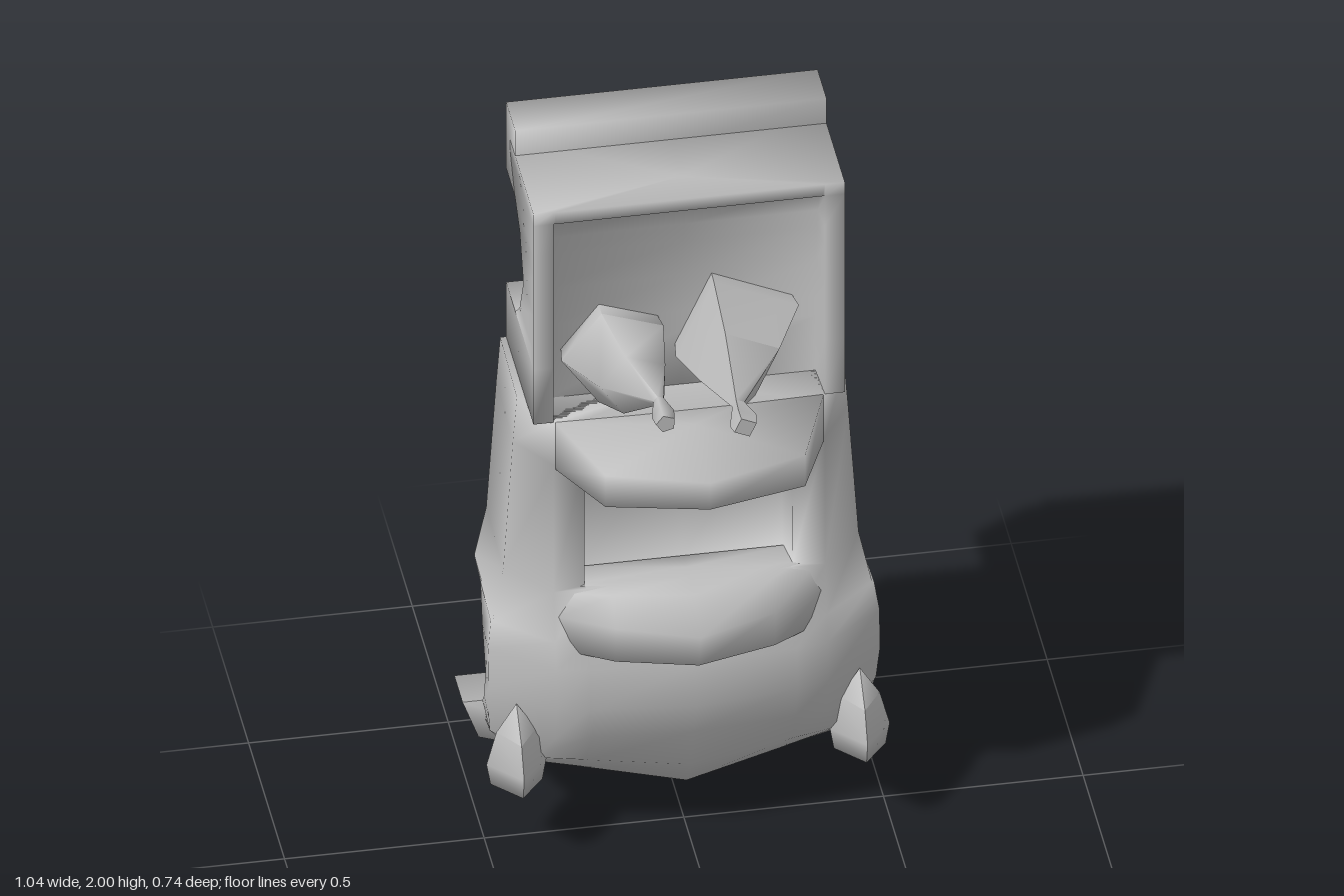
import * as THREE from 'three';
import { toCreasedNormals } from 'three/addons/utils/BufferGeometryUtils.js';

const grey = new THREE.MeshStandardMaterial({ color: 0xbcbcbc, side: THREE.DoubleSide });
grey.name = 'plain grey';

// Skin a stack of equal-length rings of [x, y, z], with end caps
function loft(rings) {
  const n = rings[0].length, pos = rings.flat(2), index = [];
  for (let i = 0; i < rings.length - 1; i++) {
    for (let j = 0; j < n; j++) {
      const a = i * n + j, b = i * n + (j + 1) % n;
      index.push(a, a + n, b, b, a + n, b + n);
    }
  }
  for (const i of [0, rings.length - 1]) {
    const centre = pos.length / 3;
    pos.push(...[0, 1, 2].map(k => rings[i].reduce((s, p) => s + p[k], 0) / n));
    for (let j = 0; j < n; j++) {
      const a = i * n + j, b = i * n + (j + 1) % n;
      index.push(centre, ...(i ? [b, a] : [a, b]));
    }
  }
  const g = new THREE.BufferGeometry();
  g.setAttribute('position', new THREE.Float32BufferAttribute(pos, 3));
  g.setIndex(index);
  return g;
}

// Complete a half ring of [x, z] at height y, from back centre to front centre
function mirror(y, half) {
  const right = half.map(([x, z]) => [x, y, z]);
  return right.concat(right.slice(1, -1).reverse().map(([x, , z]) => [-x, y, z]));
}

// Depth of a wheel arch centred on height c, hollowed out of the back
const BACK = -0.305;
const arch = (y, c) => -0.065 - 3.9 * (y - c) ** 2;

// Body ring: half width x, rim depth zf, centre depth zc; the lowest rings sag to a V
function bodyRing(y, zb, x, zf, zc) {
  const xf = 0.34 + Math.max(0, 0.35 - y) * 0.6;
  const recessed = zc < 0 && y > 0.5;
  const zj = recessed ? zf - 0.015 : zf + (zc - zf) * 0.3;
  const zi = recessed ? zc : zf + (zc - zf) * 0.35;
  const ring = mirror(y, [[0, zb], [x - 0.005, zb], [x, zf - 0.12], [xf, zf], [0.26, zj], [0.25, zi], [0, zc]]);
  const sag = Math.max(0, 0.32 - y) * 1.25;
  return ring.map(([px, py, pz]) => [px, py - sag * Math.max(0, 1 - Math.abs(px) / 0.47), pz]);
}

export function createModel() {
  const model = new THREE.Group();
  const add = (name, geometry, crease = 1.65) => {
    const mesh = new THREE.Mesh(toCreasedNormals(geometry, crease), grey);
    mesh.name = name;
    model.add(mesh);
  };

  // Main body: rounded and arched below, a recessed front above
  const lower = [[0.28, 0.475, 0.06, 0.1], [0.35, 0.485, 0.1, 0.13], [0.46, 0.49, 0.13, 0.18],
    [0.57, 0.49, 0.12, 0.155], [0.64, 0.48, 0.1, 0.13]];
  const upper = [[0.64, 0.475, 0.1, 0.13], [0.78, 0.445, 0.08, 0.08], [0.78, 0.445, 0.08, -0.02],
    [1.16, 0.42, 0.075, -0.03], [1.16, 0.42, 0.075, 0.075], [1.29, 0.41, 0.075, 0.075]];
  add('body', loft([
    bodyRing(0.2, -0.28, 0.46, -0.18, -0.18),
    bodyRing(0.24, -0.24, 0.465, 0, 0.04),
    ...lower.map(([y, x, zf, zc]) => bodyRing(y, arch(y, 0.46), x, zf, zc)),
    ...upper.map(([y, x, zf, zc]) => bodyRing(y, BACK, x, zf, zc))
  ]));

  // Open tray with a sloping floor and a second arch behind it
  const trayRing = (y, zb, floor) => mirror(y, [[0, zb], [0.39, zb], [0.39, 0.075],
    [0.34, 0.075], [0.335, floor], [0, floor]]);
  const trayArch = [1.455, 1.51, 1.62, 1.74, 1.8];
  add('tray', loft([
    trayRing(1.29, BACK, -0.03), trayRing(1.455, BACK, -0.03),
    ...trayArch.map(y => trayRing(y, arch(y, 1.625), -0.03 + Math.max(0, y - 1.62) * 0.2)),
    trayRing(1.89, -0.25, 0.03), trayRing(1.89, -0.25, 0.075), trayRing(1.925, -0.25, 0.075)
  ]));

  // Block across the upper back edge and the small ledge behind it
  add('upperBumper', new THREE.BoxGeometry(0.78, 0.2, 0.125).translate(0, 1.9, -0.2425));
  const ledge = (y, x, z) => mirror(y, [[0, z], [x, z], [0.28, -0.29], [0, -0.29]]);
  add('ledge', loft([ledge(1.8, 0.28, BACK), ledge(1.89, 0.26, -0.37)]), 0.85);

  // Pointed bumper at the bottom
  const bumper = new THREE.Shape().moveTo(0, 0).lineTo(0.48, 0.17).lineTo(0.52, 0.28)
    .lineTo(-0.52, 0.28).lineTo(-0.48, 0.17);
  add('lowerBumper', new THREE.ExtrudeGeometry(bumper, { depth: 0.115, bevelEnabled: false })
    .translate(0, 0, BACK));

  // Visor, thinning towards its front edge
  const visor = (y, slope) => mirror(y, [[0, -0.02], [0.34, -0.02], [0.335, 0.08], [0.25, 0.3], [0, 0.37]])
    .map(([x, py, z]) => [x, py + slope * Math.max(0, z - 0.08), z]);
  add('visor', loft([visor(1.15, 0.14), visor(1.29, -0.07)]));

  // Protruding lip under the recess
  const lip = (y, x, side, front) => mirror(y, [[0, -0.01], [x, -0.01], [x, side],
    [0.2, (side + front) / 2], [0, front]]);
  add('lip', loft([lip(0.61, 0.29, 0.11, 0.215), lip(0.71, 0.33, 0.09, 0.24),
    lip(0.77, 0.31, 0.075, 0.14), lip(0.785, 0.28, 0.06, 0.08)]));

  // Teardrop lamps
  const lamp = [[0, 0.2], [0.065, 0.2], [0.075, 0.26], [0.05, 0.36], [0, 0.44]]
    .map(([r, y]) => new THREE.Vector2(r, y));
  for (const s of [-1, 1]) {
    const g = new THREE.LatheGeometry(lamp, 4).scale(1, 1, 1.45).translate(s * 0.43, 0, 0.06);
    const p = g.attributes.position;
    for (let i = 0; i < p.count; i++) { // tilt the base
      if (p.getY(i) < 0.3) p.setY(i, p.getY(i) + 0.15 * (p.getZ(i) - 0.03));
    }
    add('lamp', g);
  }

  // Tapering pods in the tray, lofted forwards, each ending in a small flared tip
  const pod = (sides, cx, cy, radius, turn, tipX, reach) => {
    // depth, scale, and shift towards the tip
    const stages = [[-0.03, 0.95, 0], [0.02, 1, 0], [0.14, 0.64, 0.35],
      [reach - 0.1, 0.1, 1], [reach - 0.03, 0.22, 1], [reach, 0.18, 1]];
    const rings = stages.map(([depth, k, t]) => Array.from({ length: sides }, (_, i) => {
      const a = turn - i * Math.PI * 2 / sides;
      return [cx + (tipX - cx) * t + radius * k * Math.cos(a), depth,
        -(cy + (1.42 - cy) * t + radius * k * Math.sin(a))];
    }));
    add('pod', loft(rings).rotateX(Math.PI / 2), 1.3);
  };
  pod(5, -0.17, 1.43, 0.14, 0.6, -0.1, 0.31);
  pod(4, 0.13, 1.47, 0.165, 0.36, 0.09, 0.36);

  return model;
}
